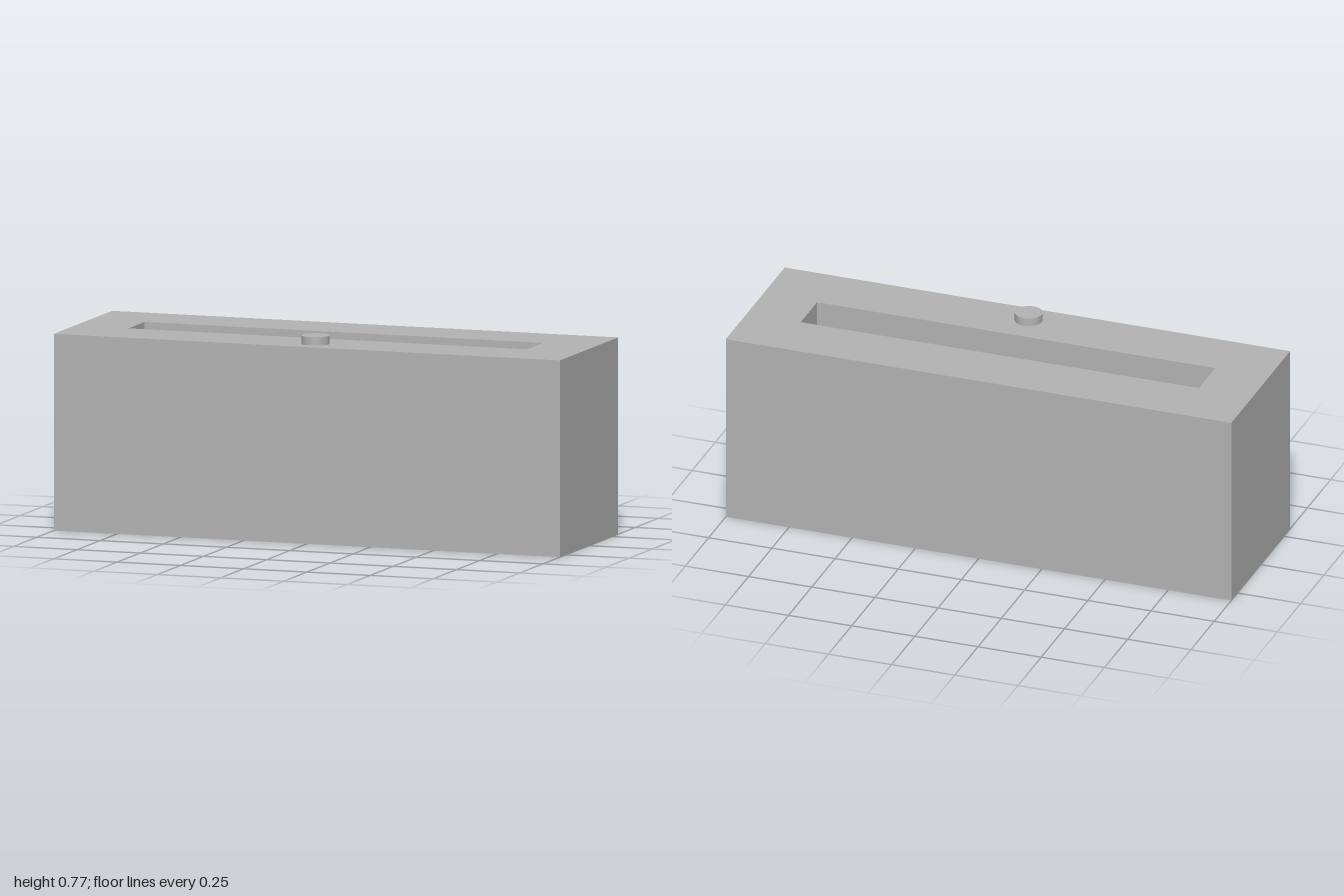
import * as THREE from 'three';

const WIDTH = 2, DEPTH = 0.632, HEIGHT = 0.738;
const SLOT_WIDTH = 1.576, SLOT_DEPTH = 0.176;
const BUTTON_RADIUS = 0.052, BUTTON_HEIGHT = 0.032, BUTTON_Z = 0.222;

// Traces a centred rectangle on a shape or path
function rectangle(path, w, d) {
  path.moveTo(-w / 2, -d / 2);
  path.lineTo(w / 2, -d / 2);
  path.lineTo(w / 2, d / 2);
  path.lineTo(-w / 2, d / 2);
  path.closePath();
  return path;
}

export function createModel() {
  const model = new THREE.Group();
  model.name = 'slottedBlock';

  const grey = new THREE.MeshStandardMaterial({ color: 0xb3b3b3 });
  grey.name = 'grey';

  // Block with a slot running right through from top to bottom
  const outline = rectangle(new THREE.Shape(), WIDTH, DEPTH);
  outline.holes.push(rectangle(new THREE.Path(), SLOT_WIDTH, SLOT_DEPTH));
  const bodyGeometry = new THREE.ExtrudeGeometry(outline, { depth: HEIGHT, bevelEnabled: false });
  bodyGeometry.rotateX(-Math.PI / 2);
  const body = new THREE.Mesh(bodyGeometry, grey);
  body.name = 'body';
  model.add(body);

  // Round button on top, in front of the slot
  const button = new THREE.Mesh(
    new THREE.CylinderGeometry(BUTTON_RADIUS, BUTTON_RADIUS, BUTTON_HEIGHT, 48),
    grey
  );
  button.name = 'button';
  button.position.set(0, HEIGHT + BUTTON_HEIGHT / 2, BUTTON_Z);
  model.add(button);

  return model;
}
